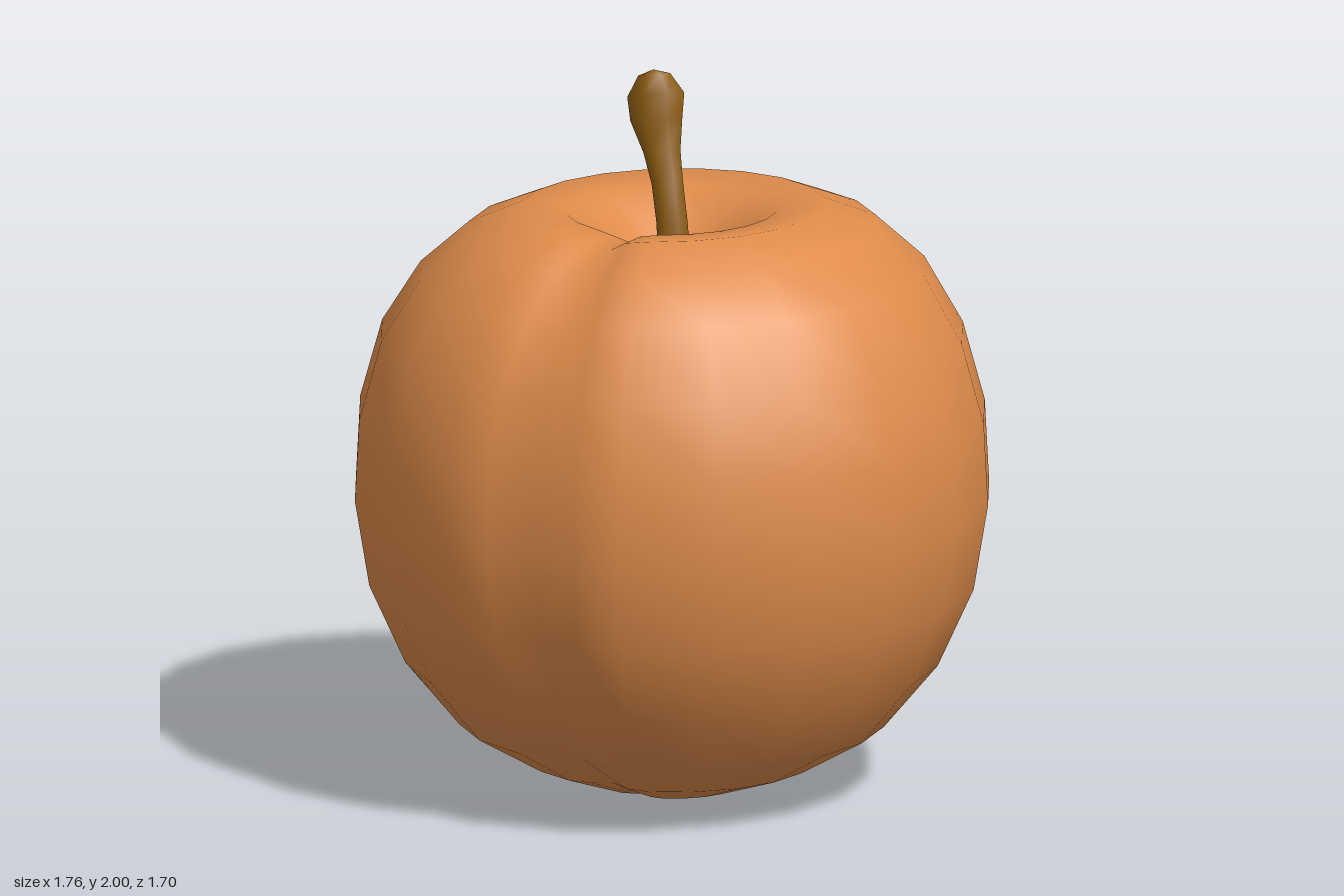
import * as THREE from 'three';
import { mergeVertices } from 'three/addons/utils/BufferGeometryUtils.js';

// Weld seams and give smooth normals
function smooth(geometry) {
  geometry.deleteAttribute('uv');
  geometry.deleteAttribute('normal');
  const welded = mergeVertices(geometry, 1e-4);
  welded.computeVertexNormals();
  return welded;
}

function makeFruit(material) {
  // Half outline from the base, over the shoulder, into the stem hollow
  const outline = [
    [0, 0.005], [0.2, 0.02], [0.4, 0.09], [0.59, 0.2], [0.74, 0.38], [0.84, 0.6],
    [0.88, 0.84], [0.868, 1.07], [0.807, 1.29], [0.7, 1.47], [0.565, 1.59],
    [0.42, 1.648], [0.29, 1.635], [0.18, 1.57], [0.09, 1.48], [0, 1.44],
  ];
  // Even steps of 18 degrees, with two finer steps beside the front crease
  const degrees = [0, 9];
  for (let d = 18; d <= 342; d += 18) degrees.push(d);
  degrees.push(351, 360);
  // Crease depth around the front
  const crease = { 0: 1, 360: 1, 9: 0.25, 351: 0.5, 18: 0.05, 342: 0.12 };

  const n = outline.length;
  const geometry = new THREE.LatheGeometry(outline.map(p => new THREE.Vector2(...p)), degrees.length - 1);
  const pos = geometry.attributes.position;
  degrees.forEach((d, i) => {
    const a = (d % 360) * Math.PI / 180;
    const c = crease[d] || 0;
    outline.forEach(([r, y], j) => {
      const fade = Math.min(1, r / 0.3);
      const inset = r - 0.06 * c * fade;
      const top = THREE.MathUtils.smoothstep(y, 1.2, 1.6);
      const x = Math.sin(a) * inset;
      const lift = top * (0.025 * x - 0.045 * c * fade);
      pos.setXYZ(i * n + j, x, y + lift, Math.cos(a) * inset * 0.983 + 0.01 * fade);
    });
  });
  const mesh = new THREE.Mesh(smooth(geometry), material);
  mesh.name = 'fruitBody';
  return mesh;
}

function makeStem(material) {
  // Rings from the knob down to the root: centre x, y, z and radius
  const rings = [
    [-0.1, 2.0, -0.07, 0.001], [-0.1, 1.985, -0.075, 0.045], [-0.1, 1.925, -0.085, 0.08],
    [-0.093, 1.86, -0.075, 0.073], [-0.06, 1.78, -0.045, 0.052], [-0.03, 1.7, -0.02, 0.044],
    [-0.005, 1.6, 0, 0.044], [0.005, 1.5, 0.005, 0.045], [0.005, 1.4, 0.005, 0.045],
  ];
  const sides = 7;
  const geometry = new THREE.CylinderGeometry(1, 1, 1, sides, rings.length - 1, true);
  const pos = geometry.attributes.position;
  for (let i = 0; i < pos.count; i++) {
    const [x, y, z, r] = rings[Math.floor(i / (sides + 1))];
    const a = (i % (sides + 1)) % sides / sides * Math.PI * 2;
    // Rings tilt slightly along the lean of the stem
    const tilt = y > 1.6 && r > 0.01 ? 0.2 : 0;
    const dx = Math.sin(a) * r, dz = Math.cos(a) * r;
    pos.setXYZ(i, x + dx, Math.min(2, y + tilt * (dx + dz)), z + dz);
  }
  const mesh = new THREE.Mesh(smooth(geometry), material);
  mesh.name = 'stem';
  return mesh;
}

export function createModel() {
  const skin = new THREE.MeshStandardMaterial({ color: 0xdf8c4b });
  skin.name = 'orange skin';
  const bark = new THREE.MeshStandardMaterial({ color: 0x8f5e12 });
  bark.name = 'brown stem';
  const group = new THREE.Group();
  group.name = 'fruit';
  group.add(makeFruit(skin), makeStem(bark));
  return group;
}
